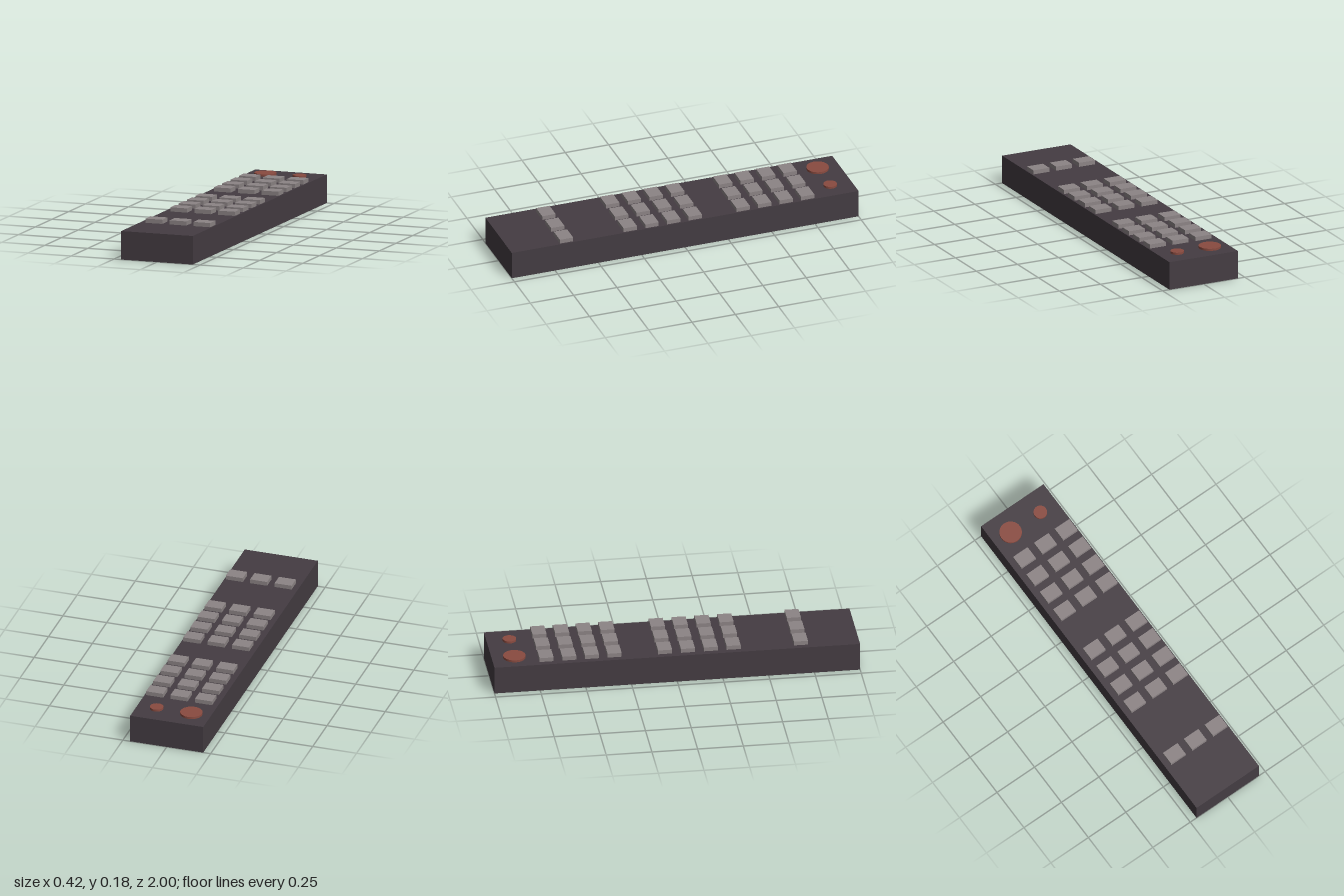
import * as THREE from 'three';

export function createModel() {
  const model = new THREE.Group();
  model.name = 'remoteControl';

  const material = (name, color) => {
    const m = new THREE.MeshStandardMaterial({ color });
    m.name = name;
    return m;
  };
  const charcoal = material('charcoal', 0x443c42);
  const grey = material('grey', 0x8c8485);
  const red = material('brickRed', 0x8a4b40);

  const add = (name, geometry, mat, x, y, z) => {
    const mesh = new THREE.Mesh(geometry, mat);
    mesh.name = name;
    mesh.position.set(x, y, z);
    model.add(mesh);
  };

  // Case
  const top = 0.157;
  add('case', new THREE.BoxGeometry(0.416, top, 2), charcoal, 0, top / 2, 0);

  // Keypad: two blocks of four rows and a single lower row
  const keyHeight = 0.023;
  const key = new THREE.BoxGeometry(0.097, keyHeight, 0.077);
  const rows = [-0.71, -0.586, -0.462, -0.338, -0.062, 0.063, 0.188, 0.313, 0.681];
  const columns = [-0.127, 0.0125, 0.151];
  rows.forEach((z, r) => columns.forEach((x, c) =>
    add(`key_${r + 1}_${c + 1}`, key, grey, x, top + keyHeight / 2, z)));

  // Round buttons at the far end
  const discHeight = 0.012;
  const disc = (name, radius, x) => add(name,
    new THREE.CylinderGeometry(radius, radius, discHeight, 32), red, x, top + discHeight / 2, -0.876);
  disc('largeRoundButton', 0.061, -0.1);
  disc('smallRoundButton', 0.037, 0.098);

  return model;
}
